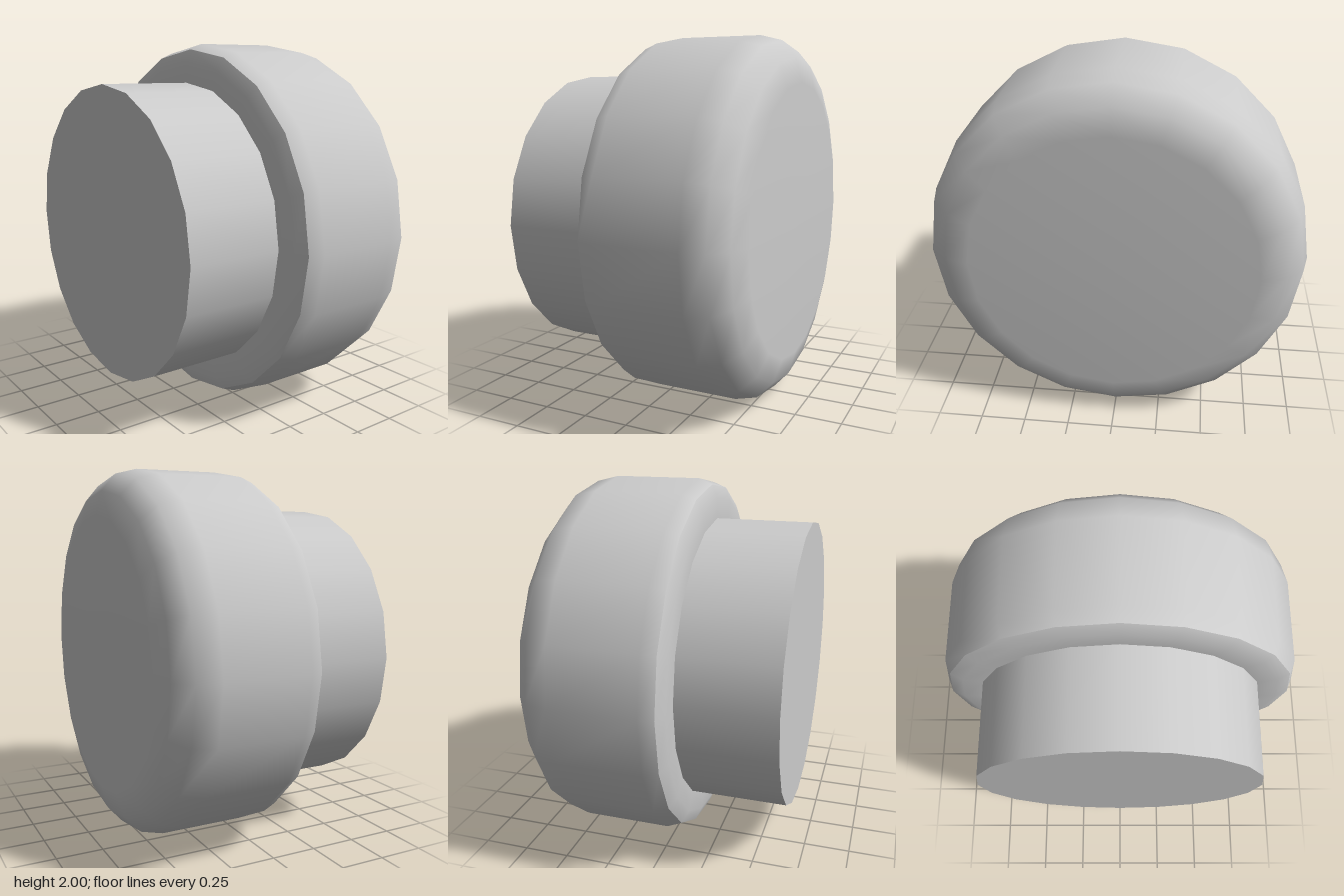
import * as THREE from 'three';

const SIDES = 20;

export function createModel() {
  const group = new THREE.Group();
  const material = new THREE.MeshStandardMaterial({ color: 0xcccccc });

  const add = (name, geometry) => {
    geometry.rotateX(Math.PI / 2); // turn the axis from y to z
    const mesh = new THREE.Mesh(geometry, material);
    mesh.name = name;
    mesh.position.y = 1;
    group.add(mesh);
    return mesh;
  };

  // Each profile lists [radius, z] from back to front
  const lathe = (profile) =>
    new THREE.LatheGeometry(profile.map(([r, z]) => new THREE.Vector2(r, z)), SIDES);

  // Wide head with a rounded back rim
  add('head', lathe([
    [0, -0.665], [0.75, -0.665], [0.88, -0.63], [0.97, -0.55],
    [1, -0.43], [1, 0.04], [0.97, 0.115],
  ]));

  // Bevelled shoulder, separate so its outer edge stays sharp
  add('shoulder', lathe([[0.97, 0.115], [0.9, 0.145], [0.79, 0.145], [0, 0.145]]));

  // Narrow stem towards the front
  const stem = add('stem', new THREE.CylinderGeometry(0.79, 0.79, 0.525, SIDES));
  stem.position.z = 0.4025;

  return group;
}
